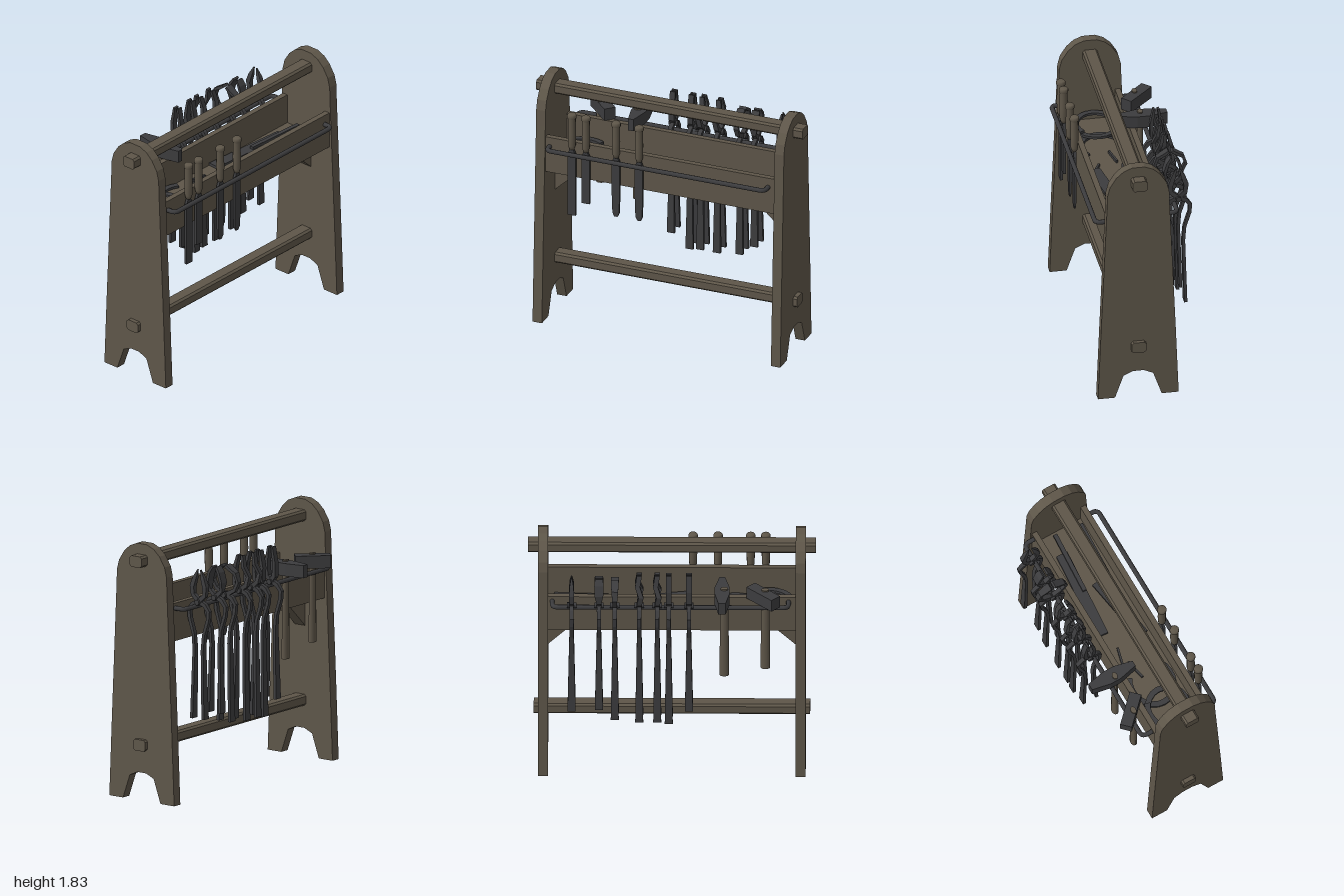
import * as THREE from 'three';

const wood = new THREE.MeshStandardMaterial({ color: 0x5e5649 });
wood.name = 'weathered wood';
const iron = new THREE.MeshStandardMaterial({ color: 0x3c3c3e });
iron.name = 'dark iron';

const CX = 0.075; // centre line of the rack

function add(parent, name, geometry, material, x = 0, y = 0, z = 0) {
  const mesh = new THREE.Mesh(geometry, material);
  mesh.name = name;
  mesh.position.set(x, y, z);
  parent.add(mesh);
  return mesh;
}

function extrude(points, depth) {
  const shape = new THREE.Shape(points.map(([x, y]) => new THREE.Vector2(x, y)));
  return new THREE.ExtrudeGeometry(shape, { depth, bevelEnabled: false });
}

// Rectangular bar swept through sections [x, y, z, width, depth]; bends in the xy plane
function sweep(sections) {
  const pos = [], index = [], n = sections.length;
  sections.forEach(([x, y, z, w, d], i) => {
    const a = sections[Math.max(i - 1, 0)], b = sections[Math.min(i + 1, n - 1)];
    const len = Math.hypot(b[0] - a[0], b[1] - a[1]);
    const nx = (b[1] - a[1]) / len, ny = -(b[0] - a[0]) / len;
    for (const [u, v] of [[1, 1], [1, -1], [-1, -1], [-1, 1]])
      pos.push(x + nx * u * w / 2, y + ny * u * w / 2, z + v * d / 2);
  });
  for (let i = 0; i < n - 1; i++)
    for (let k = 0; k < 4; k++) {
      const a = i * 4 + k, b = i * 4 + (k + 1) % 4;
      index.push(a, b, b + 4, a, b + 4, a + 4);
    }
  const e = (n - 1) * 4;
  index.push(0, 2, 1, 0, 3, 2, e, e + 1, e + 2, e, e + 2, e + 3);
  const g = new THREE.BufferGeometry();
  g.setAttribute('position', new THREE.Float32BufferAttribute(pos, 3));
  g.setIndex(index);
  const flat = g.toNonIndexed();
  flat.computeVertexNormals();
  return flat;
}

// Rail whose bent ends return to the tray wall
function rail(wallX, railX, y, z0, z1) {
  const r = 0.04 * Math.sign(railX - wallX), v = (x, z) => new THREE.Vector3(x, y, z);
  const path = new THREE.CurvePath();
  path.add(new THREE.LineCurve3(v(wallX, z0), v(railX - r, z0)));
  path.add(new THREE.QuadraticBezierCurve3(v(railX - r, z0), v(railX, z0), v(railX, z0 + 0.04)));
  path.add(new THREE.LineCurve3(v(railX, z0 + 0.04), v(railX, z1 - 0.04)));
  path.add(new THREE.QuadraticBezierCurve3(v(railX, z1 - 0.04), v(railX, z1), v(railX - r, z1)));
  path.add(new THREE.LineCurve3(v(railX - r, z1), v(wallX, z1)));
  return new THREE.TubeGeometry(path, 160, 0.017, 8);
}

// Tong jaws above the pivot, one side: [x, y, z, width, depth]
const jaws = {
  straight: [[0.03, 1.46, 0, 0.03, 0.04], [0.035, 1.55, 0, 0.025, 0.04], [0.015, 1.67, 0, 0.015, 0.04]],
  bent: [[0.05, 1.46, 0, 0.03, 0.035], [0.06, 1.52, 0.012, 0.025, 0.035],
    [0.035, 1.59, -0.012, 0.025, 0.035], [0.018, 1.67, 0, 0.018, 0.035]],
  bow: [[0.08, 1.46, 0, 0.025, 0.03], [0.11, 1.52, 0, 0.022, 0.035], [0.09, 1.58, 0, 0.022, 0.045],
    [0.04, 1.61, 0, 0.022, 0.055], [0.012, 1.63, 0, 0.02, 0.055]],
  spade: [[0.05, 1.47, 0, 0.025, 0.03], [0.06, 1.53, 0, 0.022, 0.06],
    [0.04, 1.6, 0, 0.02, 0.065], [0.015, 1.64, 0, 0.015, 0.055]],
  pointed: [[0.05, 1.47, 0, 0.03, 0.03], [0.055, 1.53, 0, 0.035, 0.035],
    [0.035, 1.59, 0, 0.03, 0.028], [0.012, 1.65, 0, 0.008, 0.006]],
};

function tongs(z, bottom, type) {
  const g = new THREE.Group();
  g.name = 'tongs';
  for (const s of [1, -1]) {
    const side = (list) => list.map(([x, y, dz, w, d]) => [x * s, y, dz, w, d]);
    add(g, 'jaw', sweep(side([[-0.015, 1.41, 0, 0.035, 0.035], ...jaws[type]])), iron);
    add(g, 'handle', sweep(side([[-0.01, 1.43, 0, 0.03, 0.03], [0.055, 1.4, 0, 0.03, 0.03],
      [0.085, 1.36, 0, 0.026, 0.028], [0.08, 1.3, 0, 0.024, 0.028], [0.045, 1.19, 0, 0.022, 0.03],
      [0.036, 1.08, 0, 0.022, 0.036], [0.05, bottom, 0, 0.022, 0.056]])), iron);
  }
  const pin = add(g, 'pivot', new THREE.CylinderGeometry(0.02, 0.02, 0.065, 8), iron, 0, 1.42);
  pin.rotation.x = Math.PI / 2;
  g.position.set(-0.25, 0, z);
  return g;
}

function hammer(z, x, bottom, turn, headPoints) {
  const g = new THREE.Group();
  g.name = 'hammer';
  const head = add(g, 'hammerHead', extrude(headPoints, 0.09), iron, 0, 1.51, 0);
  head.rotation.set(Math.PI / 2, 0, turn);
  const grip = add(g, 'hammerHandle',
    new THREE.CylinderGeometry(0.027, 0.034, 1.52 - bottom, 10), wood, 0.012, (1.52 + bottom) / 2, 0.015);
  grip.scale.x = 0.7;
  g.position.set(x, 0, z);
  return g;
}

function rasp(z, bottom, pointed) {
  const g = new THREE.Group();
  g.name = 'file';
  const profile = [[0, 1.375], [0.018, 1.38], [0.027, 1.41], [0.029, 1.5], [0.027, 1.62], [0.033, 1.625],
    [0.033, 1.645], [0.026, 1.655], [0, 1.655]].map(([r, y]) => new THREE.Vector2(r, y));
  add(g, 'fileHandle', new THREE.LatheGeometry(profile, 12), wood);
  const tip = pointed ? [[0, bottom + 0.2, 0, 0.02, 0.06], [0, bottom + 0.03, 0, 0.016, 0.05], [0, bottom, 0, 0.01, 0.025]]
    : [[0, bottom, 0, 0.02, 0.06]];
  add(g, 'fileBlade', sweep([[0, 1.385, 0, 0.02, 0.025], [0, 1.34, 0, 0.02, 0.06], ...tip]), iron);
  g.position.set(0.322, 0, z);
  return g;
}

function horseshoe(z, y, turn, radius, length, tilt) {
  const pts = [];
  for (let i = 0; i <= 16; i++) {
    const a = (-0.2 + 1.4 * i / 16) * Math.PI;
    pts.push([Math.cos(a) * radius, Math.sin(a) * length, 0, 0.04, 0.018]);
  }
  const g = new THREE.Group();
  add(g, 'horseshoe', sweep(pts), iron).rotation.x = -Math.PI / 2 + tilt;
  g.name = 'looseHorseshoe';
  g.rotation.y = turn;
  g.position.set(0.07, y, z);
  return g;
}

export function createModel() {
  const model = new THREE.Group();
  model.name = 'toolRack';

  // End boards: tapered, rounded on top, arched between the feet
  const half = [[0.038, 0.2], [0.105, 0.17], [0.165, 0], [0.285, 0], [0.265, 0.5], [0.222, 1.5], [0.218, 1.62],
    [0.2, 1.69], [0.155, 1.76], [0.105, 1.805], [0.045, 1.83]];
  const outline = [...half, ...half.map(([x, y]) => [-x, y]).reverse()];
  for (const z of [0.86, -0.93]) add(model, 'endBoard', extrude(outline, 0.07), wood, CX, 0, z);

  // Chamfered cross beams
  for (const [y, len] of [[1.715, 2], [0.4, 1.92]]) {
    const w = 0.052, h = 0.04, c = 0.014;
    const beam = extrude([[w, -h + c], [w, h - c], [w - c, h], [-w + c, h], [-w, h - c], [-w, -h + c],
      [-w + c, -h], [w - c, -h]], len);
    add(model, 'crossBeam', beam, wood, CX, y, -len / 2);
  }

  // Tool tray
  for (const x of [-0.12, 0.27])
    add(model, 'trayWall', new THREE.BoxGeometry(0.04, 0.27, 1.72), wood, x, 1.285, 0);
  add(model, 'trayFloor', new THREE.BoxGeometry(0.36, 0.04, 1.72), wood, CX, 1.18, 0);
  for (const s of [1, -1]) {
    const g = extrude([[0.86 * s, 0.93], [0.86 * s, 1.165], [0.61 * s, 1.165]], 0.09);
    add(model, 'trayBracket', g, wood, CX + 0.045, 0, 0).rotation.y = -Math.PI / 2;
  }

  // Hanging rails
  add(model, 'leftRail', rail(0.28, 0.355, 1.35, -0.81, 0.83), iron);
  add(model, 'rightRail', rail(-0.13, -0.22, 1.385, -0.83, 0.81), iron);

  // Tools on the rails
  for (const [z, bottom, type] of [[0.12, 0.59, 'straight'], [-0.02, 0.49, 'straight'], [-0.1, 0.5, 'bent'],
    [-0.225, 0.5, 'bent'], [-0.395, 0.52, 'bow'], [-0.505, 0.6, 'spade'], [-0.695, 0.59, 'pointed']])
    model.add(tongs(z, bottom, type));
  for (const [z, bottom, pointed] of [[0.65, 0.87, false], [0.545, 0.98, false], [0.318, 0.92, true], [0.145, 0.92, true]])
    model.add(rasp(z, bottom, pointed));
  model.add(hammer(0.35, -0.195, 0.815, 0,
    [[-0.175, -0.025], [-0.04, -0.052], [0.04, -0.052], [0.175, -0.02], [0.175, 0.02], [0.04, 0.052], [-0.04, 0.052], [-0.175, 0.025]]));
  model.add(hammer(0.635, -0.21, 0.885, -0.78,
    [[-0.125, -0.042], [0.125, -0.042], [0.125, 0.042], [-0.125, 0.042]]));

  // Loose stock lying in the tray: [x, z, width, length, turn, y]
  for (const [x, z, w, len, turn, y] of [[0.197, -0.545, 0.065, 0.55, -0.05, 1.21], [-0.025, -0.36, 0.085, 0.66, -0.08, 1.215],
    [0.15, -0.14, 0.085, 0.5, 0.16, 1.23], [0.015, -0.6, 0.03, 0.46, -0.06, 1.24],
    [-0.025, 0.17, 0.015, 0.14, -0.25, 1.21], [0.17, 0.14, 0.015, 0.15, -0.45, 1.21], [0.02, 0.3, 0.015, 0.15, 0.2, 1.21]])
    add(model, 'ironBar', new THREE.BoxGeometry(w, 0.02, len), iron, x, y, z).rotation.y = turn;
  model.add(horseshoe(0.44, 1.215, Math.PI, 0.15, 0.17, 0));
  model.add(horseshoe(0.7, 1.24, 0, 0.15, 0.18, 0.05));
  model.add(horseshoe(0.67, 1.265, Math.PI, 0.14, 0.16, 0));
  return model;
}
